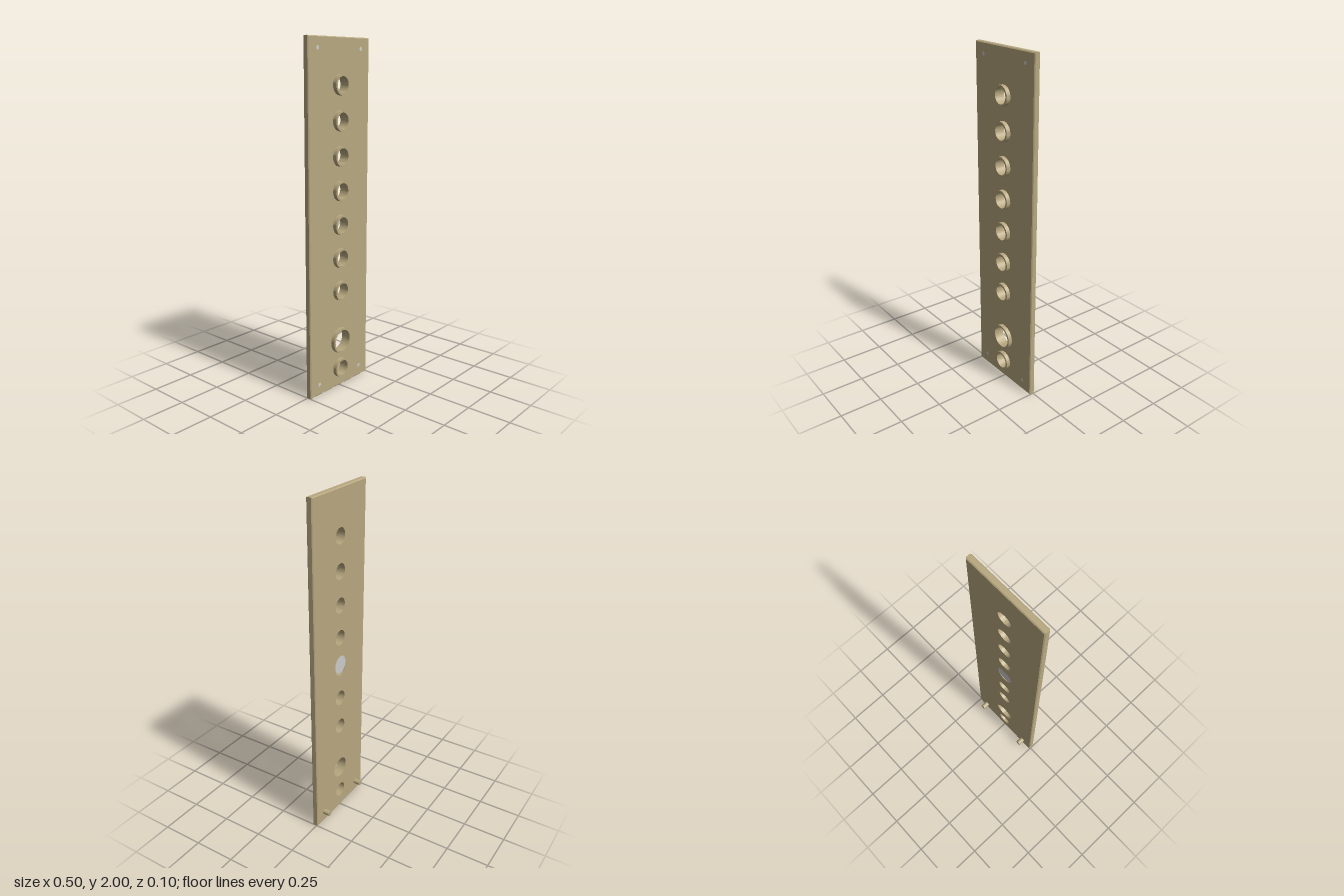
import * as THREE from 'three';
import { toCreasedNormals } from 'three/addons/utils/BufferGeometryUtils.js';

const W = 0.25, H = 2, BACK = -0.01, FRONT = 0.025, CHAMFER = 0.005;

// Round openings: height, hole radius, collar radius
const openings = [
  { y: 0.115, inner: 0.045, outer: 0.057 },
  { y: 0.285, inner: 0.063, outer: 0.075 },
];
for (let i = 0; i < 7; i++) openings.push({ y: 0.588 + i * 0.1935, inner: 0.045, outer: 0.057 });

function circle(PathType, x, y, r) {
  const p = new PathType();
  p.absarc(x, y, r, 0, Math.PI * 2, PathType === THREE.Path);
  return p;
}

function plateGeometry() {
  const shape = new THREE.Shape([
    new THREE.Vector2(-W, 0), new THREE.Vector2(W, 0),
    new THREE.Vector2(W, H), new THREE.Vector2(-W, H),
  ]);
  for (const o of openings) shape.holes.push(circle(THREE.Path, 0, o.y, o.inner));
  const depth = FRONT - BACK;
  const geo = new THREE.ExtrudeGeometry(shape, { depth, steps: 7, bevelEnabled: false, curveSegments: 24 });
  // Draw in the outline on both faces to chamfer only the outer edges
  const p = geo.attributes.position;
  for (let i = 0; i < p.count; i++) {
    const z = p.getZ(i);
    if (z > 0.001 && z < depth - 0.001) continue;
    p.setX(i, THREE.MathUtils.clamp(p.getX(i), -W + CHAMFER, W - CHAMFER));
    p.setY(i, THREE.MathUtils.clamp(p.getY(i), CHAMFER, H - CHAMFER));
  }
  geo.translate(0, 0, BACK);
  return toCreasedNormals(geo, 0.4);
}

export function createModel() {
  const model = new THREE.Group();
  model.name = 'panel';
  const tan = new THREE.MeshStandardMaterial({ color: 0xb8a880 });
  const grey = new THREE.MeshStandardMaterial({ color: 0xcccccc, side: THREE.DoubleSide });
  const add = (name, geo, mat, x, y, z) => {
    const mesh = new THREE.Mesh(geo, mat);
    mesh.name = name;
    mesh.position.set(x, y, z);
    model.add(mesh);
    return mesh;
  };

  add('plate', plateGeometry(), tan, 0, 0, 0);

  // Raised collar around each opening
  for (const o of openings) {
    const ring = circle(THREE.Shape, 0, 0, o.outer);
    ring.holes.push(circle(THREE.Path, 0, 0, o.inner));
    const geo = new THREE.ExtrudeGeometry(ring, { depth: 0.024, bevelEnabled: false, curveSegments: 24 });
    add('collar', toCreasedNormals(geo, 0.4), tan, 0, o.y, FRONT);
  }

  // Small corner discs on the front, locating pegs at the lower back
  for (const x of [-0.177, 0.177]) {
    for (const y of [0.065, 1.94]) {
      add('cornerDisc', new THREE.CircleGeometry(0.011, 24), grey, x, y, FRONT + 0.0005);
    }
    const peg = add('peg', new THREE.CylinderGeometry(0.016, 0.016, 0.042, 32), tan, x, 0.065, -0.03);
    peg.rotation.x = Math.PI / 2;
  }

  // Thin disc behind the middle opening
  add('backDisc', new THREE.CircleGeometry(0.053, 48), grey, 0, 1, BACK - 0.0005);
  return model;
}
